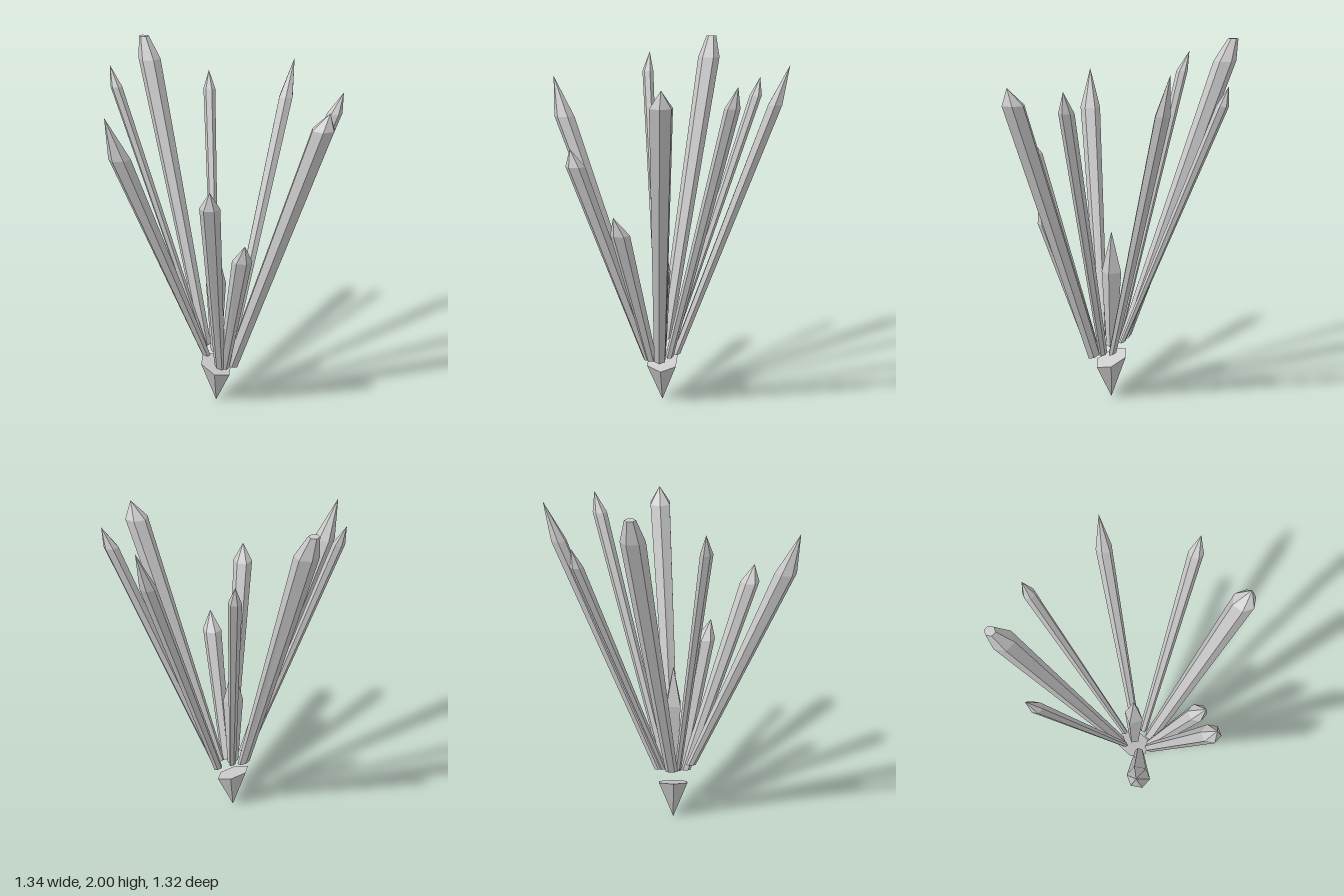
import * as THREE from 'three';

const material = new THREE.MeshStandardMaterial({ color: 0xcccccc, flatShading: true, side: THREE.DoubleSide });

// Faceted shard: level rings at foot, shoulder and tip, sheared sideways along its lean.
function shard({ name, foot, shoulder, tip, r, footR = r * 0.55, tipR = 0, sides = 6, phi = 0 }) {
  const rings = [foot, shoulder, tip];
  const profile = [[0, 0], [footR, 0], [r, 1], [tipR, 2], [0, 2]].map(([x, y]) => new THREE.Vector2(x, y));
  if (tipR === 0) profile.pop();
  const geometry = new THREE.LatheGeometry(profile, sides, phi);
  const p = geometry.attributes.position;
  for (let i = 0; i < p.count; i++) {
    const k = Math.round(p.getY(i));
    const [x, y, z] = rings[k];
    const dx = p.getX(i);
    // the foot is cut parallel to the sloping base stone
    p.setXYZ(i, x + dx, y - (k === 0 ? 0.44 * dx : 0), z + p.getZ(i));
  }
  geometry.computeVertexNormals();
  const mesh = new THREE.Mesh(geometry, material);
  mesh.name = name;
  return mesh;
}

// Inverted hexagonal point with a slanted top
function baseStone() {
  const profile = [[0, 0], [0.093, 0.228], [0, 0.228]].map(([x, y]) => new THREE.Vector2(x, y));
  const geometry = new THREE.LatheGeometry(profile, 6, Math.PI / 6);
  const p = geometry.attributes.position;
  for (let i = 0; i < p.count; i++) {
    const x = p.getX(i);
    p.setXYZ(i, x - 0.005, p.getY(i) - 0.44 * x, p.getZ(i) + 0.02);
  }
  geometry.computeVertexNormals();
  const mesh = new THREE.Mesh(geometry, material);
  mesh.name = 'baseStone';
  return mesh;
}

export function createModel() {
  const group = new THREE.Group();
  group.name = 'crystalCluster';
  const turned = Math.PI / 6;

  const crystals = [
    { name: 'tallCrystal', foot: [-0.09, 0.345, 0.01], shoulder: [-0.6, 1.88, -0.175], tip: [-0.645, 2.0, -0.185], r: 0.062, tipR: 0.028 },
    { name: 'rightFrontCrystal', foot: [-0.07, 0.34, 0.045], shoulder: [-0.55, 1.8, 0.175], tip: [-0.595, 1.91, 0.17], r: 0.032 },
    { name: 'rightBackCrystal', foot: [-0.045, 0.335, -0.035], shoulder: [-0.395, 1.68, -0.46], tip: [-0.415, 1.78, -0.483], r: 0.034 },
    { name: 'frontCrystal', foot: [-0.005, 0.34, 0.12], shoulder: [-0.185, 1.57, 0.595], tip: [-0.22, 1.79, 0.66], r: 0.057, footR: 0.027 },
    { name: 'backCrystal', foot: [0.035, 0.29, -0.065], shoulder: [0.045, 1.67, -0.585], tip: [0.05, 1.88, -0.66], r: 0.043, phi: turned },
    { name: 'leftFrontCrystal', foot: [0.07, 0.265, 0.09], shoulder: [0.262, 1.355, 0.445], tip: [0.28, 1.45, 0.47], r: 0.053 },
    { name: 'shortCrystal', foot: [0.085, 0.265, 0.07], shoulder: [0.295, 1.0, 0.205], tip: [0.332, 1.1, 0.235], r: 0.053 },
    { name: 'leftCrystal', foot: [0.105, 0.265, 0.02], shoulder: [0.605, 1.7, -0.053], tip: [0.64, 1.79, -0.057], r: 0.063, phi: turned },
    { name: 'leftBackCrystal', foot: [0.075, 0.28, -0.03], shoulder: [0.475, 1.69, -0.39], tip: [0.508, 1.8, -0.42], r: 0.04 },
    // upright square crystal in the middle
    { name: 'centreCrystal', foot: [-0.005, 0.31, 0.02], shoulder: [-0.005, 0.73, 0.02], tip: [-0.005, 0.96, 0.02], r: 0.056, footR: 0.03, sides: 4, phi: Math.PI / 4 },
  ];
  for (const crystal of crystals) group.add(shard(crystal));
  group.add(baseStone());
  return group;
}
